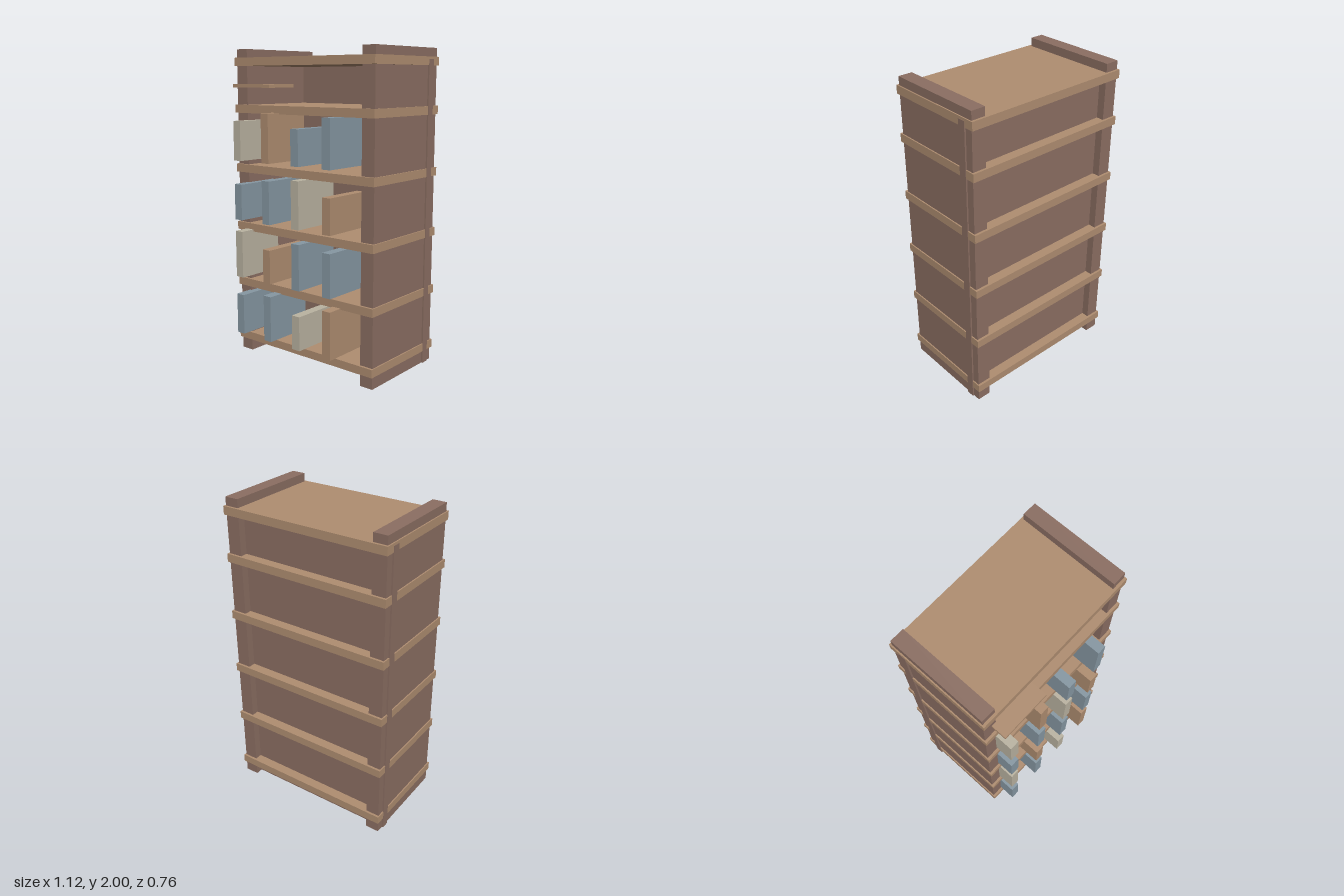
import * as THREE from 'three';

const material = (name, color) => {
  const m = new THREE.MeshStandardMaterial({ color });
  m.name = name;
  return m;
};

export function createModel() {
  const darkWood = material('dark wood', 0x8c6f63);
  const lightWood = material('light wood', 0xb08e71);
  const blue = material('slate blue', 0x8798a3);
  const cream = material('cream', 0xbbb4a2);

  const model = new THREE.Group();
  model.name = 'bookshelf';

  // Box given by its extents along each axis
  const addBox = (name, mat, [x0, x1], [y0, y1], [z0, z1], parent = model) => {
    const mesh = new THREE.Mesh(new THREE.BoxGeometry(x1 - x0, y1 - y0, z1 - z0), mat);
    mesh.position.set((x0 + x1) / 2, (y0 + y1) / 2, (z0 + z1) / 2);
    mesh.name = name;
    parent.add(mesh);
  };

  // Upright sides and the back panel, whose ends show through the sides
  addBox('leftSide', darkWood, [0.458, 0.548], [0, 2], [-0.366, 0.268]);
  addBox('rightSide', darkWood, [-0.548, -0.458], [0, 2], [-0.366, 0.268]);
  addBox('backPanel', darkWood, [-0.558, 0.558], [0.001, 1.932], [-0.318, -0.268]);

  // Shelves wrap slightly beyond the sides
  for (const y of [0.105, 0.477, 0.857, 1.242, 1.625, 1.921]) {
    addBox('shelf', lightWood, [-0.556, 0.556], [y - 0.026, y + 0.026], [-0.381, 0.284]);
  }

  // Books: one row per shelf, each entry is a colour and a height
  const rows = [
    [0.157, [[blue, 0.264], [blue, 0.298], [cream, 0.219], [lightWood, 0.301]]],
    [0.54, [[cream, 0.304], [lightWood, 0.217], [blue, 0.29], [blue, 0.272]]],
    [0.92, [[blue, 0.231], [blue, 0.273], [cream, 0.297], [lightWood, 0.22]]],
    [1.302, [[cream, 0.251], [lightWood, 0.306], [blue, 0.222], [blue, 0.296]]],
  ];
  for (const [y, books] of rows) {
    const row = new THREE.Group();
    row.name = 'bookRow';
    books.forEach(([mat, height], i) => {
      const x = -0.442 + i * 0.2437;
      addBox('book', mat, [x - 0.03, x + 0.03], [y, y + height], [0.052, 0.384], row);
    });
    model.add(row);
  }

  // Thin board lying in the top compartment
  addBox('looseBoard', lightWood, [-0.49, -0.172], [1.761, 1.782], [0.145, 0.364]);

  return model;
}
